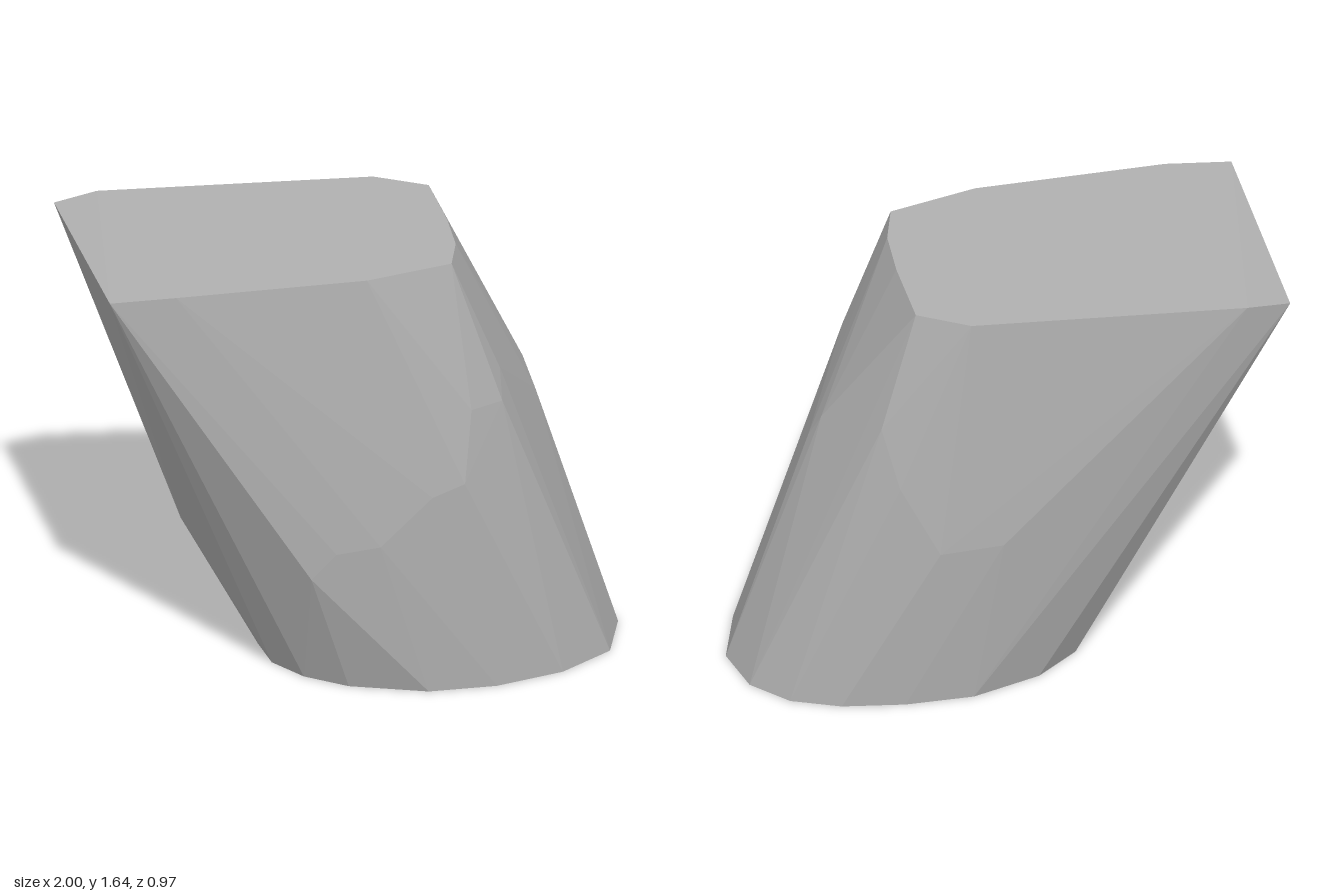
import * as THREE from 'three';
import { ConvexGeometry } from 'three/addons/geometries/ConvexGeometry.js';

// Corner points [x, z] of the rounded foot, which stands on the ground
const foot = [
  [1, -0.05], [0.94, 0.19], [0.75, 0.34], [0.5, 0.425], [0.25, 0.44], [-0.03, 0.36],
  [-0.18, 0.26], [-0.28, 0.13], [-0.31, -0.03], [-0.25, -0.2], [-0.1, -0.33],
  [0.15, -0.425], [0.4, -0.44], [0.63, -0.42], [0.81, -0.36], [0.94, -0.24],
];

// Corner points [x, y, z] of the flat top, blunt at one end and rounded at the other
const top = [
  [-1, 1.62, -0.42], [-0.84, 1.64, -0.455], [0.16, 1.645, -0.435], [0.35, 1.645, -0.34],
  [0.38, 1.645, -0.05], [0.385, 1.645, 0.15], [0.35, 1.645, 0.31], [0.03, 1.645, 0.41],
  [-0.67, 1.645, 0.465], [-0.91, 1.635, 0.46],
];

// Facet corners [x, y, z] that make the sides bulge
const waist = [
  [-0.6, 0.56, 0.05], [-0.63, 0.7, -0.1],
  [-0.18, 0.49, 0.475], [-0.09, 0.59, 0.485], [0.07, 0.61, 0.485], [0.26, 0.79, 0.472],
  [0.38, 0.83, 0.455], [0.41, 1.1, 0.405], [0.53, 1.1, 0.34], [0.53, 1.2, 0.27],
  [0.66, 1.06, -0.1], [0.7, 0.95, -0.05],
  [0.48, 1.18, -0.38], [0.28, 0.68, -0.485], [0.05, 0.7, -0.485], [0.42, 0.95, -0.44],
];

export function createModel() {
  const group = new THREE.Group();
  const stone = new THREE.MeshStandardMaterial({ color: 0xb0b0b0 });
  stone.name = 'stone grey';

  // Leaning faceted block
  const points = [...foot.map(([x, z]) => [x, 0, z]), ...top, ...waist]
    .map((p) => new THREE.Vector3(...p));
  const block = new THREE.Mesh(new ConvexGeometry(points), stone);
  block.name = 'leaningBlock';
  group.add(block);
  return group;
}
